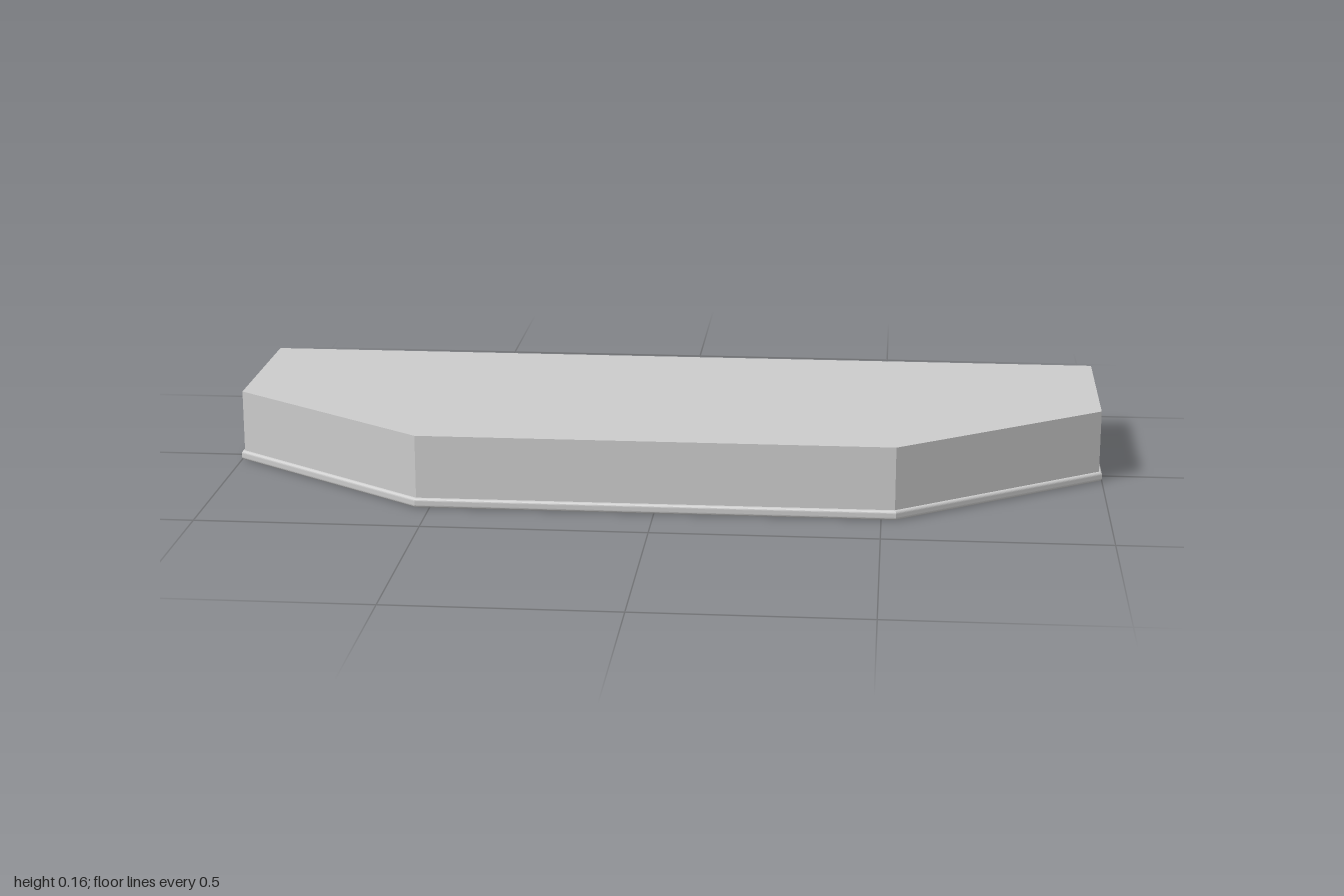
import * as THREE from 'three';

// Half outline (x, z) from back to front, mirrored to the other side
const HALF = [[0.993, -0.365], [0.993, 0.038], [0.53, 0.365]];

function outline() {
  const mirrored = HALF.map(([x, z]) => [-x, z]).reverse();
  // Shape y becomes -z once the extrusion is laid flat
  return new THREE.Shape([...HALF, ...mirrored].map(([x, z]) => new THREE.Vector2(x, -z)));
}

function slab(name, bottom, options, material) {
  const geometry = new THREE.ExtrudeGeometry(outline(), options);
  geometry.rotateX(-Math.PI / 2);
  geometry.computeBoundingBox();
  geometry.translate(0, bottom - geometry.boundingBox.min.y, 0);
  const mesh = new THREE.Mesh(geometry, material);
  mesh.name = name;
  return mesh;
}

export function createModel() {
  const group = new THREE.Group();
  group.name = 'platform';
  const material = new THREE.MeshStandardMaterial({ color: 0xcccccc });

  // Main block with straight sides and clipped front corners
  group.add(slab('block', 0.02, { depth: 0.145, bevelEnabled: false }, material));

  // Thin base lip with a rounded rim, slightly wider than the block
  group.add(slab('baseLip', 0, {
    depth: 0.008, bevelEnabled: true, bevelThickness: 0.007, bevelSize: 0.007, bevelSegments: 6,
  }, material));

  return group;
}
